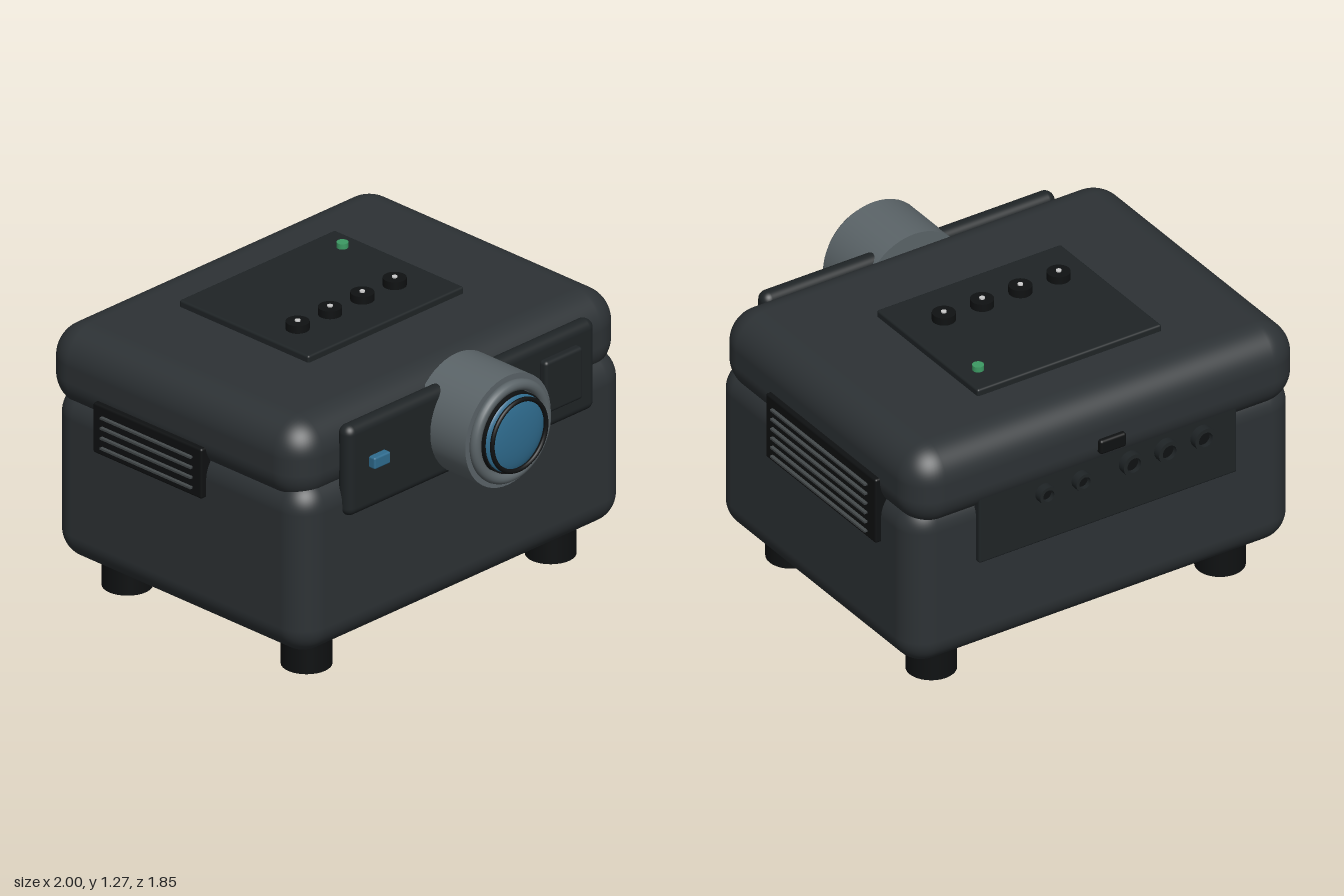
import * as THREE from 'three';
import { RoundedBoxGeometry } from 'three/addons/geometries/RoundedBoxGeometry.js';

const mat = (color) => new THREE.MeshStandardMaterial({ color });

export function createModel() {
  const root = new THREE.Group();
  const shell = mat(0x2d3235), panel = mat(0x1f2426), black = mat(0x0f1112);
  const grey = mat(0x5b6468), slatGrey = mat(0x44494b), blue = mat(0x2f6c8f);
  const green = mat(0x3c9a63), white = mat(0xcccccc);

  const add = (name, geometry, material, x = 0, y = 0, z = 0, parent = root) => {
    const mesh = new THREE.Mesh(geometry, material);
    mesh.name = name;
    mesh.position.set(x, y, z);
    parent.add(mesh);
    return mesh;
  };
  // Rounded box given by its extents on each axis
  const block = (name, material, [x0, x1], [y0, y1], [z0, z1], r, seg = 3, parent = root) =>
    add(name, new RoundedBoxGeometry(x1 - x0, y1 - y0, z1 - z0, seg, r), material,
      (x0 + x1) / 2, (y0 + y1) / 2, (z0 + z1) / 2, parent);
  const group = (name) => {
    const g = new THREE.Group();
    g.name = name;
    root.add(g);
    return g;
  };

  // Two-part housing
  block('lowerBody', shell, [-0.957, 0.957], [0.145, 0.936], [-0.866, 0.607], 0.13, 8);
  block('lid', shell, [-0.963, 0.963], [0.83, 1.203], [-0.906, 0.585], 0.15, 8);

  // Feet
  for (const x of [-0.717, 0.717])
    for (const z of [-0.648, 0.39])
      add('foot', new THREE.CylinderGeometry(0.107, 0.107, 0.18, 32), black, x, 0.09, z);

  // Front panel with sensor window and square cover
  block('frontPanel', panel, [-0.727, 0.727], [0.75, 1.165], [0.565, 0.647], 0.04, 5);
  block('sensorWindow', blue, [-0.61, -0.515], [0.95, 1.003], [0.64, 0.68], 0.008);
  block('frontCover', panel, [0.385, 0.605], [0.855, 1.095], [0.645, 0.692], 0.016);

  // Lens, built along z
  const lens = group('lens');
  lens.position.set(0, 0.978, 0);
  add('lensBarrel', new THREE.CylinderGeometry(0.251, 0.251, 0.3, 48), grey, 0, 0, 0.7, lens).rotation.x = Math.PI / 2;
  add('lensRim', new THREE.TorusGeometry(0.205, 0.025, 16, 64), grey, 0, 0, 0.863, lens);
  add('lensTube', new THREE.CylinderGeometry(0.178, 0.178, 0.05, 48), black, 0, 0, 0.864, lens).rotation.x = Math.PI / 2;
  add('lensGlass', new THREE.SphereGeometry(0.172, 48, 24), blue, 0, 0, 0.885, lens).scale.z = 0.2;
  add('lensFrontRing', new THREE.TorusGeometry(0.158, 0.01, 12, 64), black, 0, 0, 0.915, lens);

  // Control panel on top
  const controls = group('controls');
  block('controlPanel', panel, [-0.457, 0.457], [1.185, 1.233], [-0.605, 0.145], 0.01, 3, controls);
  for (const x of [-0.303, -0.113, 0.077, 0.267]) {
    add('button', new THREE.CylinderGeometry(0.05, 0.05, 0.04, 32), black, x, 1.248, -0.07, controls);
    add('buttonDot', new THREE.CylinderGeometry(0.012, 0.012, 0.02, 16), white, x, 1.264, -0.07, controls);
  }
  add('statusLight', new THREE.CylinderGeometry(0.025, 0.025, 0.03, 24), green, 0.365, 1.242, -0.47, controls);

  // Side vents with slats
  const vent = (name, side, y, z, slats, slatZ) => {
    const g = group(name);
    block('ventFrame', black, side > 0 ? [0.925, 0.985] : [-0.985, -0.925], y, z, 0.01, 3, g);
    for (const sy of slats)
      add('ventSlat', new THREE.BoxGeometry(0.03, 0.009, slatZ[1] - slatZ[0]), slatGrey,
        side * 0.985, sy, (slatZ[0] + slatZ[1]) / 2, g);
  };
  vent('leftVent', 1, [0.685, 0.995], [-0.635, 0.18], [0.945, 0.9, 0.853, 0.808, 0.763, 0.718], [-0.575, 0.125]);
  vent('rightVent', -1, [0.725, 0.955], [-0.585, -0.045 + 0.09], [0.905, 0.858, 0.812, 0.765], [-0.53, -0.005]);

  // Rear connection panel: round sockets and a small receiver above
  const rear = group('rearPanel');
  block('rearPlate', panel, [-0.64, 0.64], [0.6, 0.98], [-0.89, -0.84], 0.01, 3, rear);
  block('rearReceiver', black, [-0.068, 0.062], [0.945, 1.012], [-0.928, -0.88], 0.012, 3, rear);
  const sockets = [[-0.46, 0.052], [-0.28, 0.052], [-0.105, 0.052], [0.14, 0.042], [0.32, 0.042]];
  for (const [x, r] of sockets) {
    const ring = new THREE.Shape().absarc(0, 0, r, 0, Math.PI * 2);
    ring.holes.push(new THREE.Path().absarc(0, 0, r * 0.65, 0, Math.PI * 2, true));
    const geo = new THREE.ExtrudeGeometry(ring, { depth: 0.05, bevelEnabled: false, curveSegments: 32 });
    add('socketRing', geo, panel, x, 0.838, -0.927, rear);
    add('socketCore', new THREE.CylinderGeometry(r * 0.66, r * 0.66, 0.03, 24), black, x, 0.838, -0.89, rear).rotation.x = Math.PI / 2;
  }

  return root;
}
